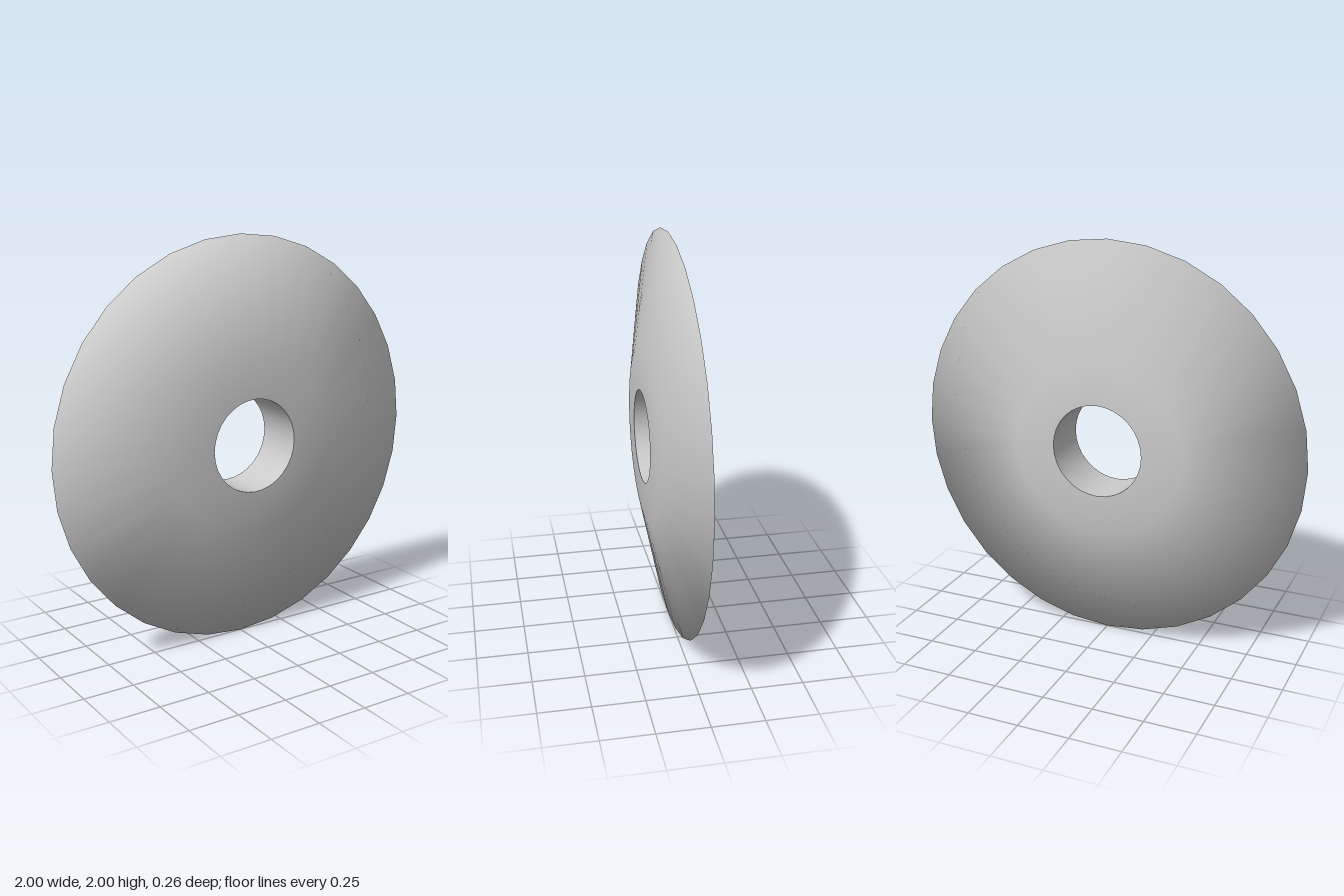
import * as THREE from 'three';

const SIDES = 32;
const HOLE = 0.23;
const HALF = 0.13;

// Surface of revolution from [radius, height] pairs
function lathe(name, profile, material) {
  const points = profile.map(([r, h]) => new THREE.Vector2(r, h));
  const mesh = new THREE.Mesh(new THREE.LatheGeometry(points, SIDES), material);
  mesh.name = name;
  return mesh;
}

export function createModel() {
  const model = new THREE.Group();
  model.name = 'bladeDisc';
  const material = new THREE.MeshStandardMaterial({ color: 0xcccccc });

  const disc = new THREE.Group();
  disc.name = 'disc';

  // Both faces, nearly flat around the hole, tapering to a smooth-shaded sharp rim
  disc.add(lathe('discBody', [
    [HOLE, -HALF], [0.43, -0.123], [1, 0], [0.43, 0.123], [HOLE, HALF],
  ], material));

  // Wall of the central hole, with hard edges against the faces
  disc.add(lathe('centreHole', [[HOLE, HALF], [HOLE, -HALF]], material));

  // Stand the disc upright, facing the front
  disc.rotation.x = Math.PI / 2;
  disc.position.y = 1;
  model.add(disc);
  return model;
}
